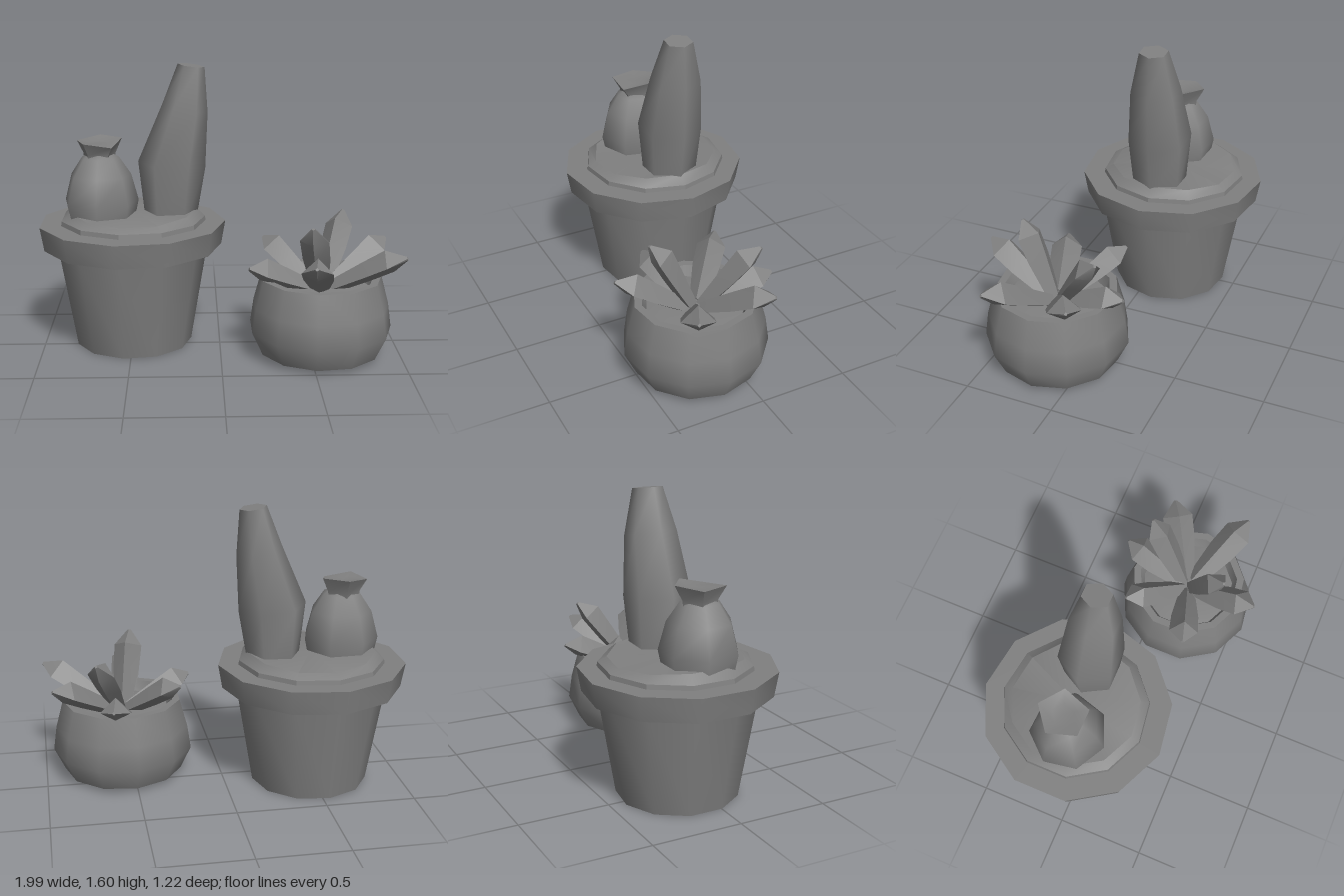
import * as THREE from 'three';
import { toCreasedNormals } from 'three/addons/utils/BufferGeometryUtils.js';

const V = (x, y, z) => new THREE.Vector3(x, y, z);

// Skin over rings of equal point count (counter-clockwise about the travel direction), capped at both ends
function loft(rings, crease) {
  const pos = [], idx = [], n = rings[0].length;
  rings.forEach(r => r.forEach(p => pos.push(p.x, p.y, p.z)));
  for (let i = 0; i < rings.length - 1; i++) {
    for (let j = 0; j < n; j++) {
      const a = i * n + j, b = i * n + (j + 1) % n;
      idx.push(a, b, b + n, a, b + n, a + n);
    }
  }
  const ends = [[rings[0], 0, true], [rings[rings.length - 1], (rings.length - 1) * n, false]];
  for (const [ring, start, flip] of ends) {
    const c = ring.reduce((s, p) => s.add(p), V(0, 0, 0)).divideScalar(n);
    const k = pos.length / 3;
    pos.push(c.x, c.y, c.z);
    for (let j = 0; j < n; j++) {
      const a = start + j, b = start + (j + 1) % n;
      idx.push(k, flip ? b : a, flip ? a : b);
    }
  }
  const g = new THREE.BufferGeometry();
  g.setAttribute('position', new THREE.Float32BufferAttribute(pos, 3));
  g.setIndex(idx);
  return toCreasedNormals(g, crease);
}

// Horizontal ring; tilt adds a height that varies with angle
function ring(n, y, cx, cz, rx, rz = rx, turn = 0, tilt = () => 0) {
  return Array.from({ length: n }, (_, j) => {
    const a = turn + j / n * Math.PI * 2;
    return V(cx + rx * Math.cos(a), y + tilt(a), cz - rz * Math.sin(a));
  });
}

// Eleven-sided turned shape with a corner facing +x
function turned(profile) {
  const g = new THREE.LatheGeometry(profile.map(p => new THREE.Vector2(...p)), 11);
  g.rotateY(Math.PI / 2);
  g.deleteAttribute('uv');
  g.deleteAttribute('normal');
  return toCreasedNormals(g, 0.95);
}

// Broad fleshy leaf: ridged diamond section, ending in a steep cut to a point
function leaf(root, tip, width) {
  const d = tip.clone().sub(root).normalize();
  const s = V(0, 1, 0).cross(d).normalize();
  const u = d.clone().cross(s);
  const section = (t, w, up, down) => {
    const c = root.clone().lerp(tip, t);
    return [[w, 0], [0, up], [-w, 0], [0, -down]].map(([a, b]) =>
      c.clone().addScaledVector(s, a).addScaledVector(u, b));
  };
  return loft([
    section(0, width * 0.55, 0.04, 0.03),
    section(0.5, width * 0.95, 0.07, 0.04),
    section(0.8, width, 0.085, 0.04),
    section(1, 0.01, 0.01, 0.01),
  ], 0.4);
}

export function createModel() {
  const model = new THREE.Group();
  const mat = new THREE.MeshStandardMaterial({ color: 0x808080, side: THREE.DoubleSide });
  const add = (name, geometry, parent = model) => {
    const m = new THREE.Mesh(geometry, mat);
    m.name = name;
    parent.add(m);
    return m;
  };

  // Tall pot with a heavy rim, open underneath
  add('tallPot', turned([
    [0.33, 0], [0.423, 0.555], [0.505, 0.57], [0.528, 0.705], [0.38, 0.705],
  ])).position.set(-0.494, 0, -0.09);

  // Uneven soil mound, dipping at front and back
  const mound = a => 0.012 * Math.cos(2 * a);
  add('tallPotSoil', loft([
    ring(11, 0.69, -0.49, -0.1, 0.415),
    ring(11, 0.73, -0.49, -0.1, 0.408),
    ring(11, 0.765, -0.49, -0.1, 0.36, 0.36, 0, mound),
  ], 0.5));

  // Round cactus, seven-sided
  const round = [[0.70, 0.185], [0.83, 0.212], [0.98, 0.172], [1.08, 0.105], [1.10, 0.07]];
  add('roundCactus', loft(round.map(([y, r]) =>
    ring(7, y, -0.665, -0.06, r, r, 0.17)), 1.1));

  // Five-sided flower with a wavy lip and sunken middle
  const wave = a => 0.012 * Math.sin(a) + 0.012 * Math.cos(3 * a);
  add('flower', loft([
    ring(5, 1.06, -0.67, -0.07, 0.09, 0.09, Math.PI / 2),
    ring(5, 1.10, -0.67, -0.07, 0.095, 0.095, Math.PI / 2),
    ring(5, 1.17, -0.67, -0.07, 0.132, 0.14, Math.PI / 2, wave),
    ring(5, 1.16, -0.67, -0.07, 0.06, 0.06, Math.PI / 2),
  ], 0.7));

  // Tall leaning cactus, six-sided: y, centre x, radius x, radius z, tilt
  const trunk = [
    [0.70, -0.275, 0.142, 0.15, 0],
    [1.03, -0.267, 0.188, 0.178, -0.02],
    [1.35, -0.19, 0.125, 0.143, -0.025],
    [1.585, -0.155, 0.074, 0.082, -0.01],
  ];
  add('tallCactus', loft(trunk.map(([y, x, rx, rz, k]) =>
    ring(6, y, x, -0.093, rx, rz, 0, a => k * Math.cos(a))), 1.24));

  // Low rounded pot with soil set below its rim
  const px = 0.554, pz = 0.17;
  add('lowPot', turned([
    [0, 0.025], [0.337, 0.025], [0.399, 0.155], [0.38, 0.29], [0.337, 0.45],
    [0.295, 0.45], [0.27, 0.39],
  ])).position.set(px, 0, pz);
  add('lowPotSoil', turned([[0.275, 0.39], [0.2, 0.40], [0, 0.405]])).position.set(px, 0, pz);

  // Rosette: tip position and half width of each leaf
  const rosette = new THREE.Group();
  rosette.name = 'succulent';
  model.add(rosette);
  const tips = [
    [0.99, 0.61, 0.38, 0.09], [0.95, 0.60, -0.08, 0.09], [0.15, 0.53, 0.29, 0.085],
    [0.25, 0.60, -0.11, 0.08], [0.48, 0.62, 0.60, 0.085], [0.63, 0.52, -0.25, 0.085],
    [0.71, 0.75, -0.13, 0.08], [0.48, 0.78, 0.40, 0.08],
  ];
  for (const [x, y, z, w] of tips) {
    const root = V(px, 0.38, pz).lerp(V(x, 0.38, z), 0.1);
    add('leaf', leaf(root, V(x, y, z), w), rosette);
  }
  return model;
}
